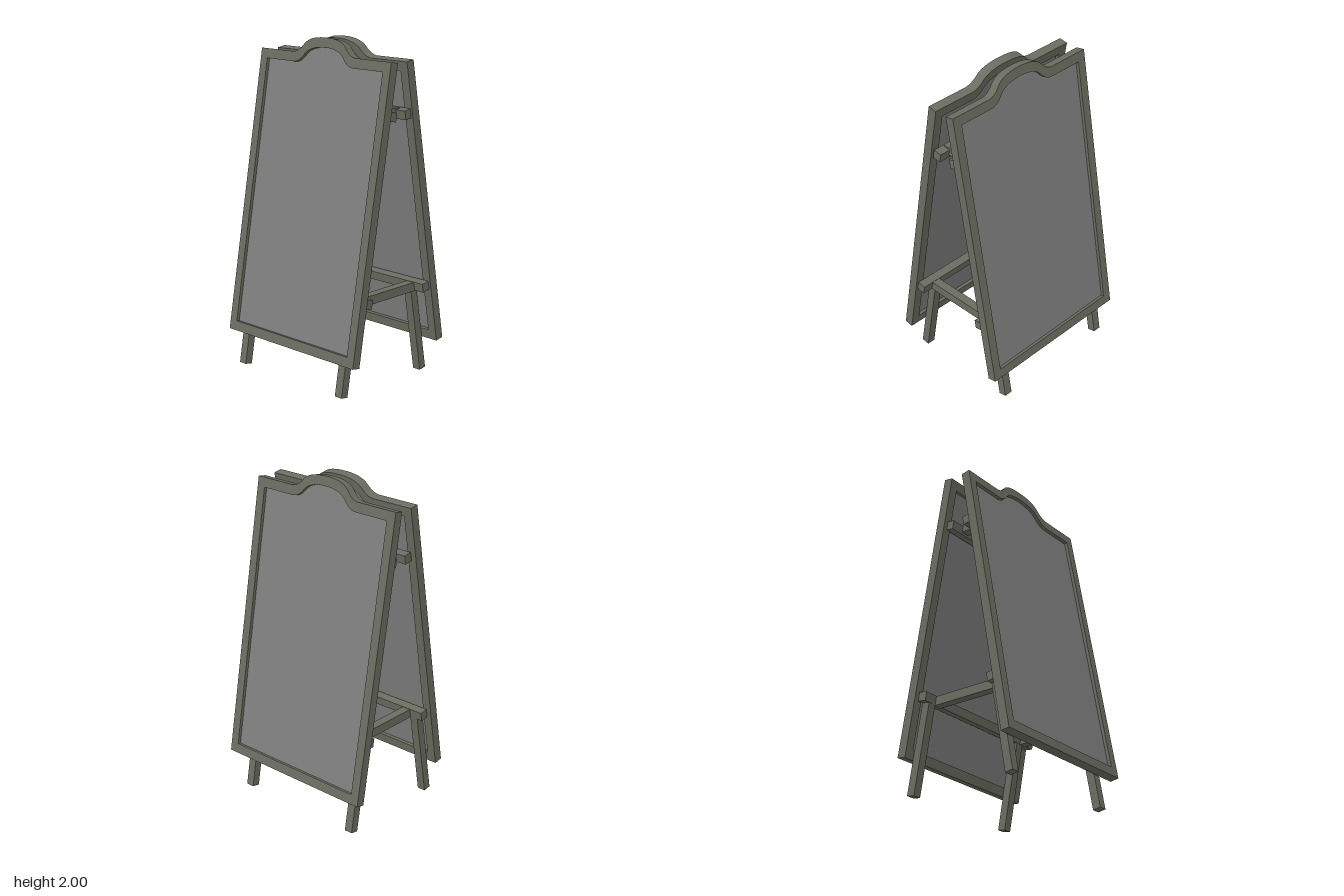
import * as THREE from 'three';
import { toCreasedNormals } from 'three/addons/utils/BufferGeometryUtils.js';

const TILT = THREE.MathUtils.degToRad(10);
const wood = new THREE.MeshStandardMaterial({ color: 0x6b6d60 });
const slate = new THREE.MeshStandardMaterial({ color: 0x7f7f7f });

// Rectangle with an ogee arch in the middle of its top edge
function archOutline(PathType, halfWidth, bottom, shoulder, crest, reach) {
  const p = new PathType();
  const rise = crest - shoulder, mid = shoulder + rise * 0.52;
  p.moveTo(-halfWidth, bottom);
  p.lineTo(halfWidth, bottom);
  p.lineTo(halfWidth, shoulder);
  p.lineTo(reach, shoulder);
  p.quadraticCurveTo(reach - 0.045, shoulder, reach - 0.085, mid);
  p.quadraticCurveTo(reach - 0.125, crest, 0, crest);
  p.quadraticCurveTo(-reach + 0.125, crest, -reach + 0.085, mid);
  p.quadraticCurveTo(-reach + 0.045, shoulder, -reach, shoulder);
  p.lineTo(-halfWidth, shoulder);
  p.closePath();
  return p;
}

function extrude(name, shape, depth, z, material) {
  const geo = new THREE.ExtrudeGeometry(shape, { depth, bevelEnabled: false, curveSegments: 12 });
  const mesh = new THREE.Mesh(toCreasedNormals(geo, 0.6), material);
  mesh.position.z = z;
  mesh.name = name;
  return mesh;
}

// Box given by its extents along each axis
function beam(name, [x0, x1], [y0, y1], [z0, z1]) {
  const mesh = new THREE.Mesh(new THREE.BoxGeometry(x1 - x0, y1 - y0, z1 - z0), wood);
  mesh.position.set((x0 + x1) / 2, (y0 + y1) / 2, (z0 + z1) / 2);
  mesh.name = name;
  return mesh;
}

// One leaning side; flip = -1 keeps legs and rails aligned on the turned side
function makeSide(name, flip, railZ) {
  const side = new THREE.Group();
  const lean = new THREE.Group();
  const span = (a, b) => (flip > 0 ? [a, b] : [-b, -a]);
  lean.position.set(0, 0.208, 0.335);
  lean.rotation.x = -TILT;

  const frame = archOutline(THREE.Shape, 0.517, 0, 1.713, 1.81, 0.25);
  frame.holes.push(archOutline(THREE.Path, 0.462, 0.058, 1.655, 1.753, 0.237));
  lean.add(extrude('frame', frame, 0.055, 0, wood));
  const board = archOutline(THREE.Shape, 0.466, 0.054, 1.659, 1.757, 0.239);
  lean.add(extrude('board', board, 0.015, 0.02, slate));

  // Rails across the back of the panel and legs below the lower one
  lean.add(beam('upperRail', span(-0.49, 0.505), [1.39, 1.443], railZ));
  lean.add(beam('lowerRail', span(-0.49, 0.505), [0.335, 0.388], [-0.056, -0.003]));
  for (const [a, b] of [[-0.455, -0.403], [0.355, 0.407]]) {
    lean.add(beam('leg', span(a, b), [-0.2015, 0.335], [-0.055, -0.005]));
  }
  side.add(lean);
  side.name = name;
  return side;
}

export function createModel() {
  const model = new THREE.Group();
  model.name = 'pavementSign';
  const front = makeSide('frontSide', 1, [-0.06, -0.007]);
  const back = makeSide('backSide', -1, [-0.046, 0.004]);
  back.rotation.y = Math.PI;
  model.add(front, back);

  // Spreaders joining the two sides
  for (const x of [[-0.405, -0.35], [0.383, 0.438]]) {
    model.add(beam('upperSpreader', x, [1.583, 1.63], [-0.07, 0.07]));
    model.add(beam('lowerSpreader', x, [0.525, 0.578], [-0.23, 0.23]));
  }
  return model;
}
